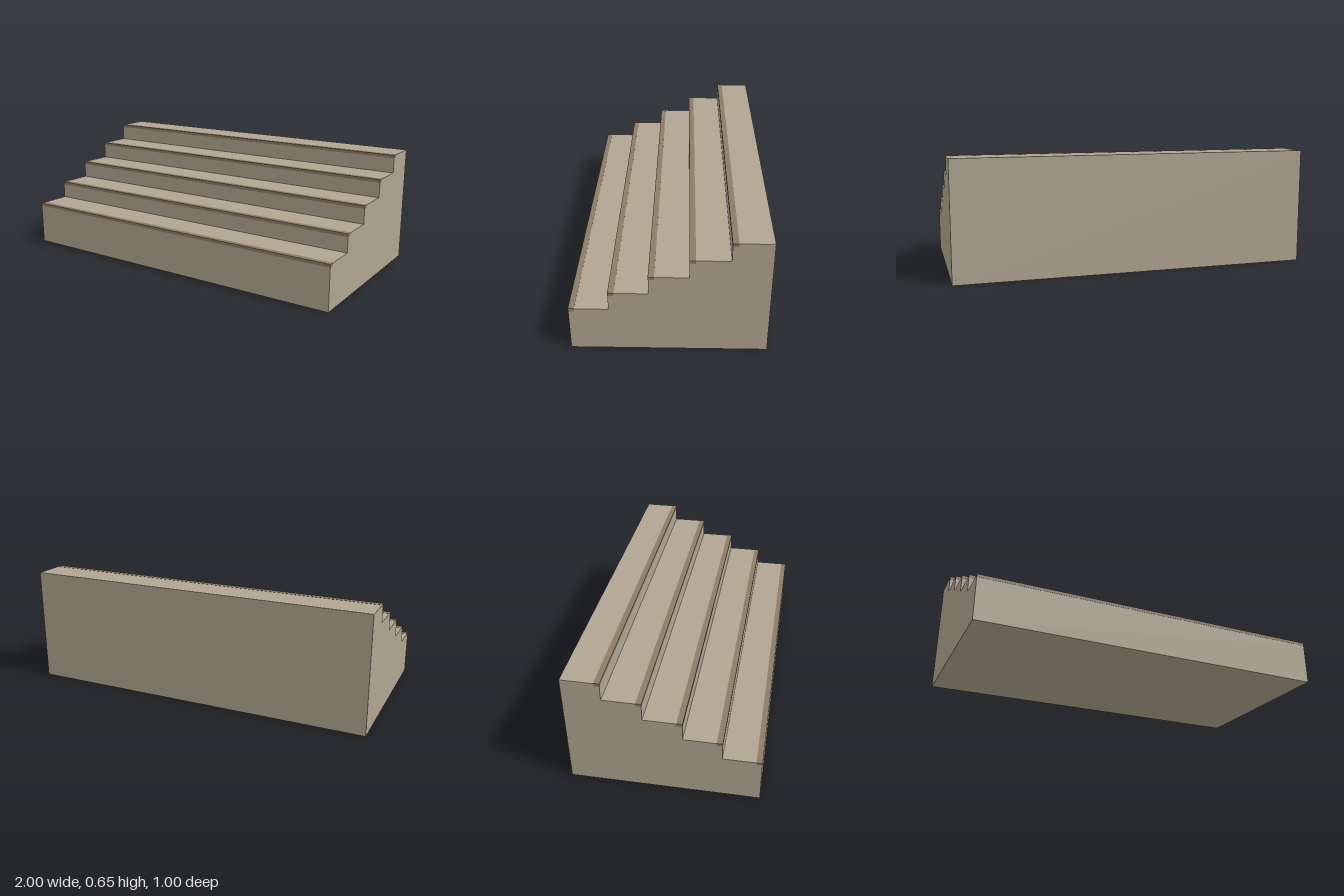
import * as THREE from 'three';

const STEPS = 5, RUN = 0.2, RISE = 0.1, BASE = 0.25, WIDTH = 2;
const NOSE_DEPTH = 0.03, NOSE_HEIGHT = 0.016, PROUD = 0.001;

export function createModel() {
  const group = new THREE.Group();
  group.name = 'staircase';
  const stone = new THREE.MeshStandardMaterial({ color: 0xb0a591 });
  stone.name = 'stone';
  const trim = new THREE.MeshStandardMaterial({ color: 0x8b7c66 });
  trim.name = 'nosing brown';

  // Stepped side profile, notched at each edge to receive its nosing
  const profile = new THREE.Shape();
  profile.moveTo(-0.5, 0);
  for (let i = 0; i < STEPS; i++) {
    const front = -0.5 + i * RUN, top = BASE + i * RISE;
    profile.lineTo(front, top - NOSE_HEIGHT);
    profile.lineTo(front + NOSE_DEPTH, top - NOSE_HEIGHT);
    profile.lineTo(front + NOSE_DEPTH, top);
    profile.lineTo(front + RUN, top);

    // Nosing strip, slightly proud of the tread and riser
    const strip = new THREE.Mesh(
      new THREE.BoxGeometry(WIDTH, NOSE_HEIGHT + PROUD, NOSE_DEPTH + PROUD), trim);
    strip.name = `nosing${i + 1}`;
    strip.position.set(0, top + (PROUD - NOSE_HEIGHT) / 2, -front + (PROUD - NOSE_DEPTH) / 2);
    group.add(strip);
  }
  profile.lineTo(0.5, 0);
  profile.closePath();

  // Solid stair block, extruded across the width
  const geometry = new THREE.ExtrudeGeometry(profile, { depth: WIDTH, bevelEnabled: false });
  geometry.translate(0, 0, -WIDTH / 2).rotateY(Math.PI / 2);
  const block = new THREE.Mesh(geometry, stone);
  block.name = 'stairBlock';
  group.add(block);
  return group;
}
